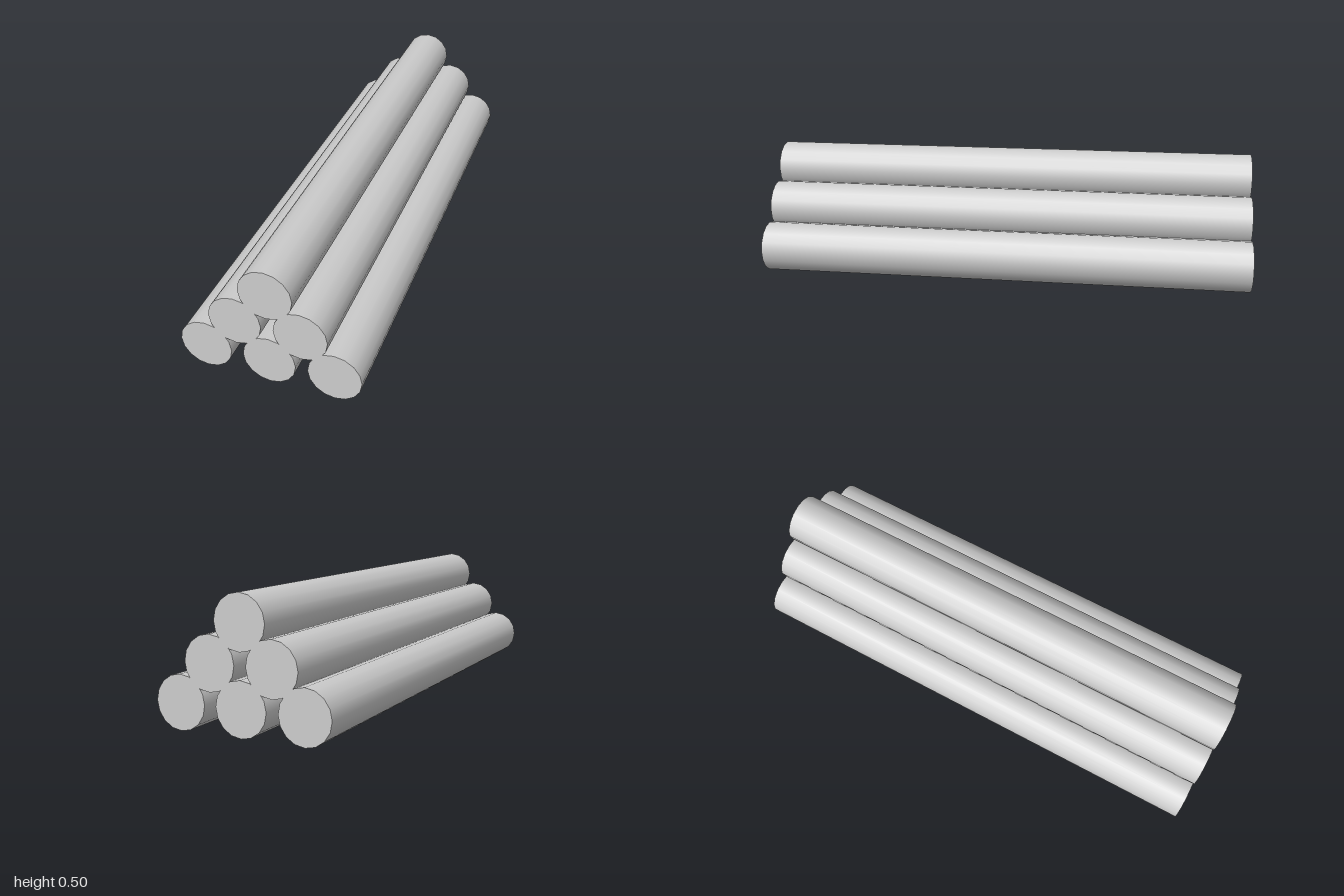
import * as THREE from 'three';

// Pyramid stack of six logs lying along z
export function createModel() {
  const group = new THREE.Group();
  group.name = 'logPile';

  const radius = 0.102, length = 2, rows = 3;
  const spacingX = 0.25, spacingY = 0.15;

  const material = new THREE.MeshStandardMaterial({ color: 0xcccccc });
  const logGeometry = new THREE.CylinderGeometry(radius, radius, length, 16);
  logGeometry.rotateX(Math.PI / 2);

  // Each row holds one log fewer than the row below
  for (let row = 0; row < rows; row++) {
    const count = rows - row;
    for (let i = 0; i < count; i++) {
      const log = new THREE.Mesh(logGeometry, material);
      log.name = `logRow${row + 1}Number${i + 1}`;
      log.position.set((i - (count - 1) / 2) * spacingX, radius + row * spacingY, 0);
      group.add(log);
    }
  }
  return group;
}
